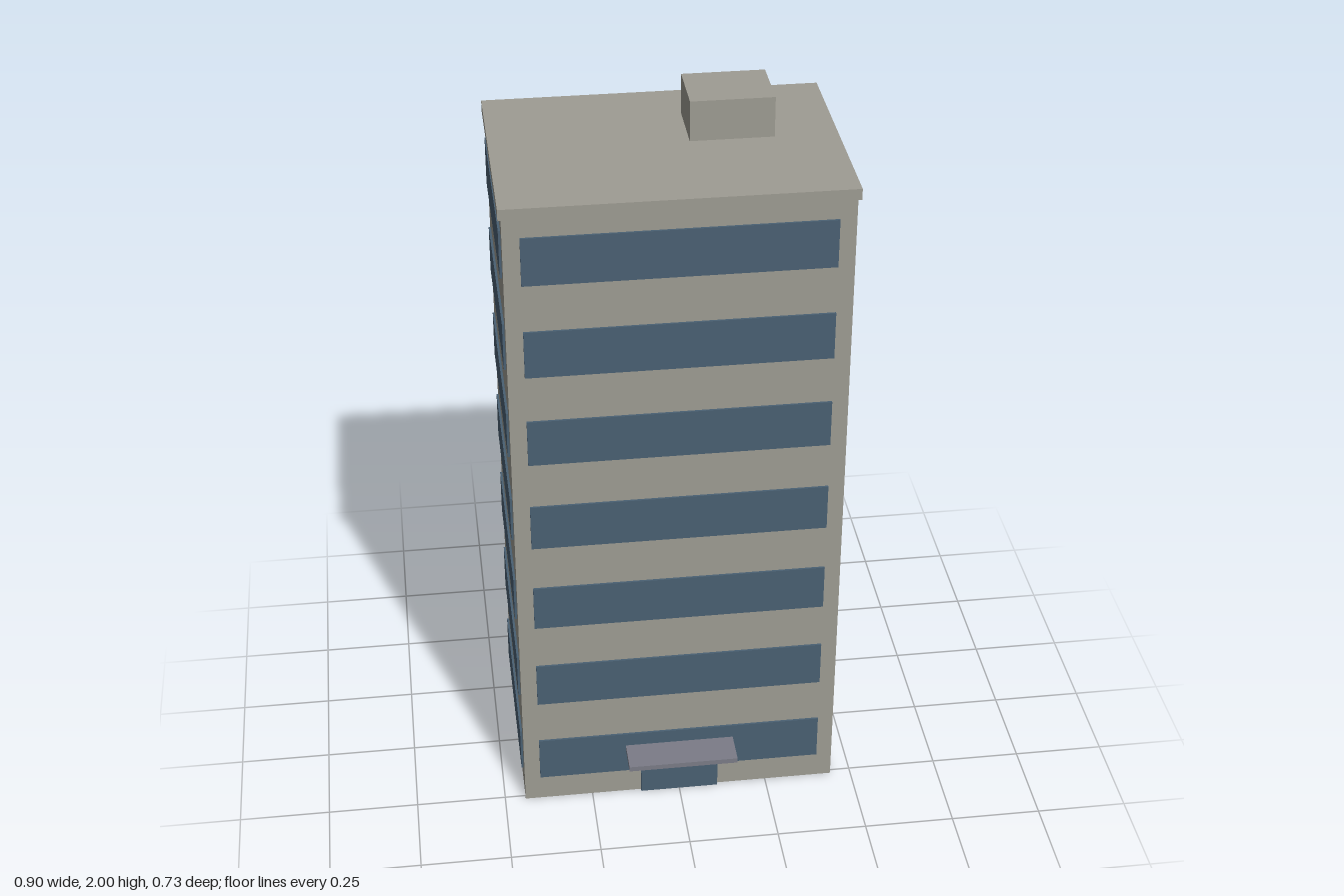
import * as THREE from 'three';

const concrete = new THREE.MeshStandardMaterial({ color: 0x9e9c93 });
concrete.name = 'concrete';
const glass = new THREE.MeshStandardMaterial({ color: 0x4a6073 });
glass.name = 'blueGlass';
const canopyGrey = new THREE.MeshStandardMaterial({ color: 0x7b7c87 });
canopyGrey.name = 'canopyGrey';

// Box given by its extents on each axis
function box(name, material, [x0, x1], [y0, y1], [z0, z1]) {
  const mesh = new THREE.Mesh(new THREE.BoxGeometry(x1 - x0, y1 - y0, z1 - z0), material);
  mesh.position.set((x0 + x1) / 2, (y0 + y1) / 2, (z0 + z1) / 2);
  mesh.name = name;
  return mesh;
}

export function createModel() {
  const model = new THREE.Group();
  model.name = 'officeTower';

  const halfW = 0.442, back = -0.355, front = 0.263;
  const bodyTop = 1.86, roofTop = 1.89;
  const floors = 7, storey = bodyTop / floors;
  const margin = 0.044, proud = 0.006;

  // Tower body, roof slab and rooftop plant room
  model.add(box('towerBody', concrete, [-halfW, halfW], [0, bodyTop], [back, front]));
  model.add(box('roofSlab', concrete, [-0.45, 0.45], [bodyTop, roofTop], [-0.364, 0.27]));
  model.add(box('plantRoom', concrete, [0.064, 0.284], [roofTop, 2], [-0.222, -0.05]));

  // Ribbon windows on all four sides of every floor
  const wx = [-halfW + margin, halfW - margin];
  const wz = [back + margin, front - margin];
  for (let i = 0; i < floors; i++) {
    const mid = (i + 0.55) * storey;
    const wy = [mid - storey / 4, mid + storey / 4];
    const band = new THREE.Group();
    band.name = `windowBand${i + 1}`;
    band.add(
      box('frontWindow', glass, wx, wy, [front, front + proud]),
      box('backWindow', glass, wx, wy, [back - proud, back]),
      box('leftWindow', glass, [halfW, halfW + proud], wy, wz),
      box('rightWindow', glass, [-halfW - proud, -halfW], wy, wz)
    );
    model.add(band);
  }

  // Entrance door and canopy
  model.add(box('entranceDoor', glass, [-0.11, 0.11], [0, 0.14], [front, front + 0.009]));
  model.add(box('entranceCanopy', canopyGrey, [-0.153, 0.153], [0.157, 0.172], [front, 0.364]));

  return model;
}
